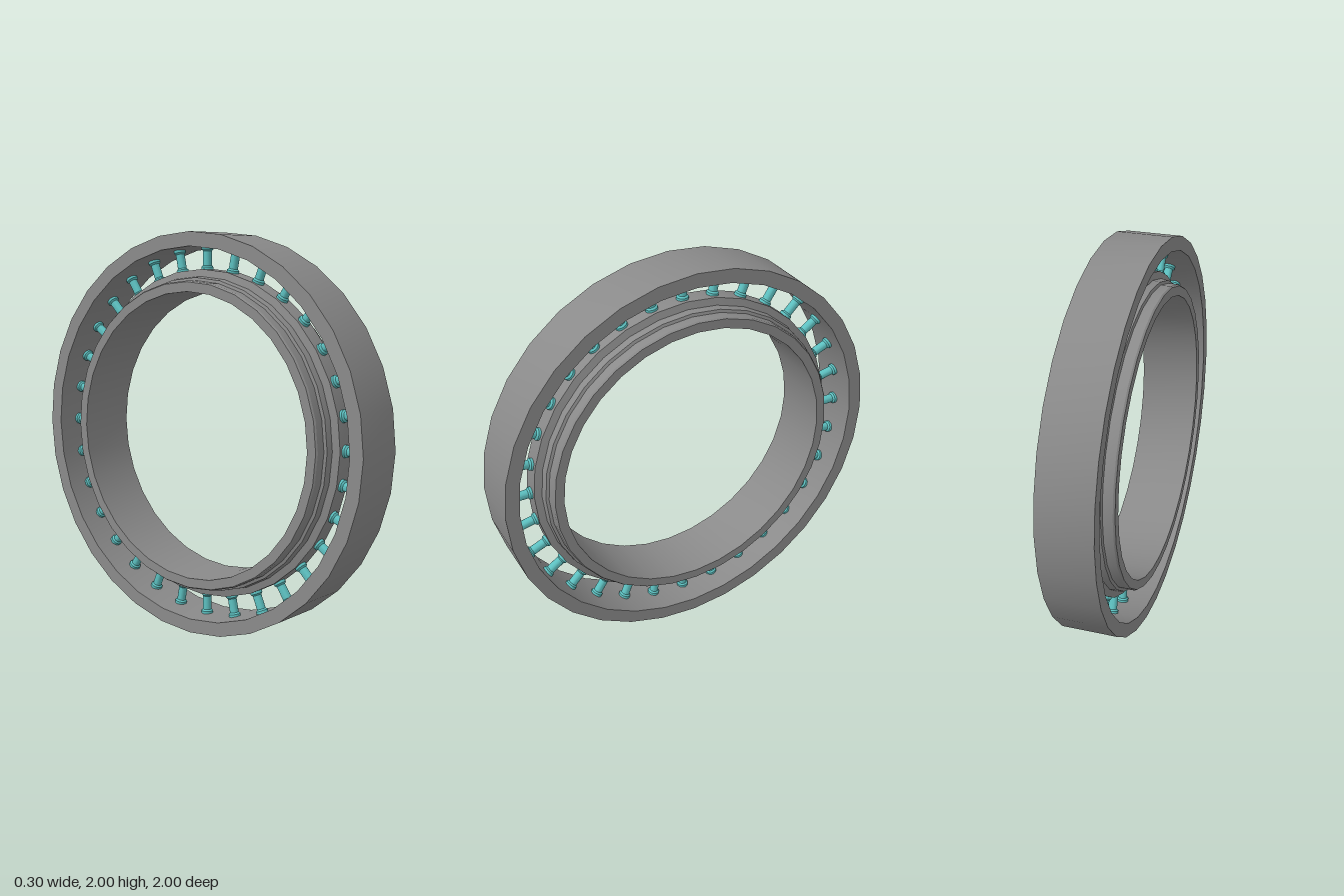
import * as THREE from 'three';
import { toCreasedNormals } from 'three/addons/utils/BufferGeometryUtils.js';

const SIDES = 32;
const SPOKES = 32;

// Closed ring turned about the x axis; points are [radius, x], counter-clockwise
function ring(name, profile, material) {
  const pts = [...profile, profile[0]].map(([r, x]) => new THREE.Vector2(r, x));
  const geo = toCreasedNormals(new THREE.LatheGeometry(pts, SIDES), 0.5);
  geo.rotateZ(-Math.PI / 2);
  const mesh = new THREE.Mesh(geo, material);
  mesh.name = name;
  return mesh;
}

export function createModel() {
  const grey = new THREE.MeshStandardMaterial({ color: 0x8a8a8a });
  grey.name = 'steel grey';
  const teal = new THREE.MeshStandardMaterial({ color: 0x5cbfbf });
  teal.name = 'teal';

  const wheel = new THREE.Group();
  wheel.name = 'ringWheel';
  wheel.position.y = 1;

  // Wide outer band
  wheel.add(ring('outerRing', [[0.93, -0.137], [1, -0.137], [1, 0.137], [0.93, 0.137]], grey));

  // Inner sleeve, stepping up to a narrow rim that carries the spokes
  const half = [[0.82, 0.045], [0.785, 0.055], [0.78, 0.09], [0.766, 0.095], [0.766, 0.143], [0.76, 0.152], [0.713, 0.152]];
  const mirrored = half.map(([r, x]) => [r, -x]).reverse();
  wheel.add(ring('innerRing', [...mirrored, ...half], grey));

  // Short radial spokes with a collar at each end
  const profile = [[0, 0.805], [0.03, 0.805], [0.03, 0.83], [0.022, 0.838],
    [0.022, 0.908], [0.03, 0.916], [0.03, 0.934], [0, 0.934]];
  const spokeGeo = toCreasedNormals(
    new THREE.LatheGeometry(profile.map(([r, y]) => new THREE.Vector2(r, y)), 16), 0.5);
  const spokes = new THREE.Group();
  spokes.name = 'spokes';
  for (let i = 0; i < SPOKES; i++) {
    const spoke = new THREE.Mesh(spokeGeo, teal);
    spoke.name = 'spoke';
    spoke.rotation.x = (i / SPOKES) * Math.PI * 2;
    spokes.add(spoke);
  }
  wheel.add(spokes);

  const model = new THREE.Group();
  model.name = 'model';
  model.add(wheel);
  return model;
}
